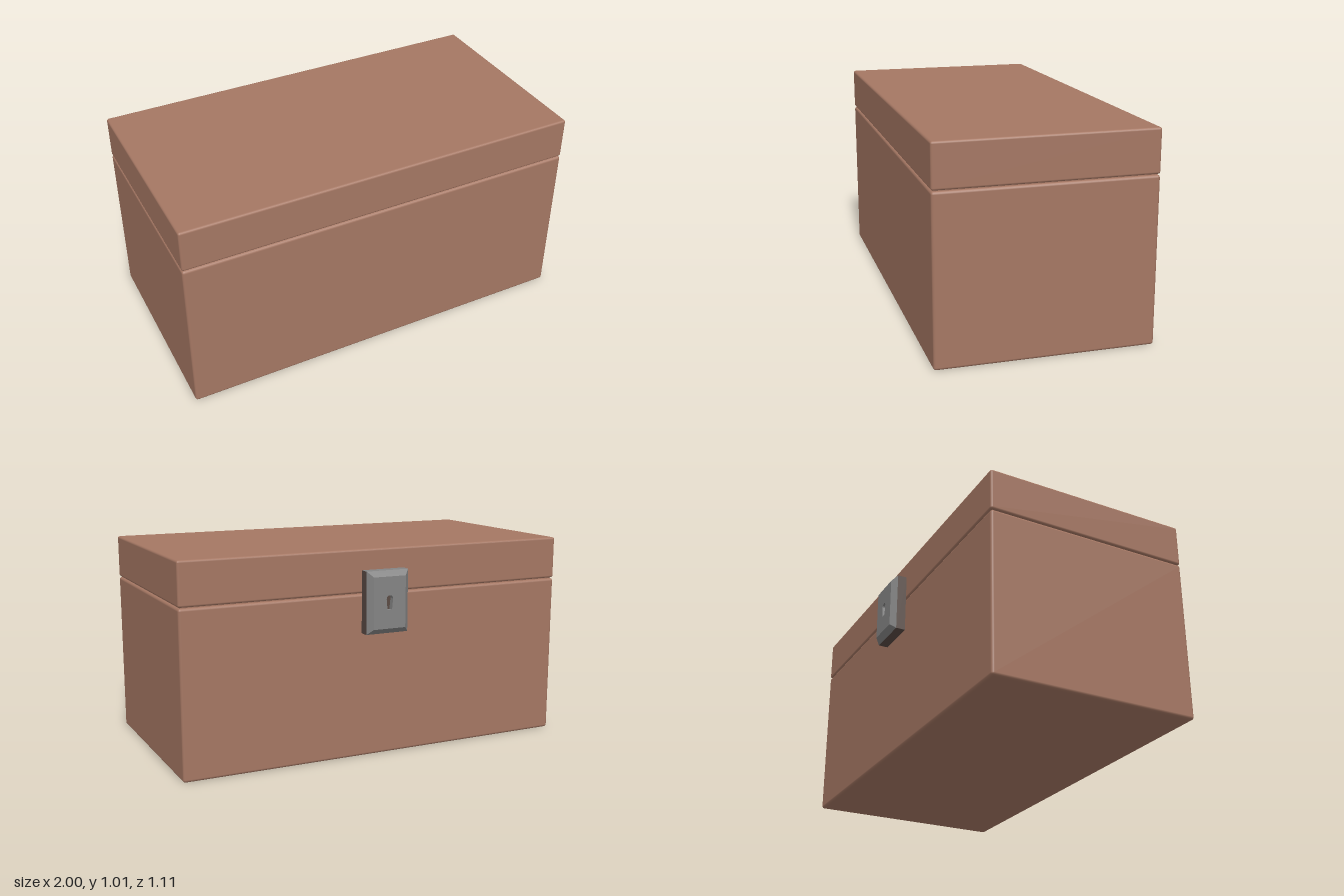
import * as THREE from 'three';
import { RoundedBoxGeometry } from 'three/addons/geometries/RoundedBoxGeometry.js';

function material(name, color) {
  const m = new THREE.MeshStandardMaterial({ color });
  m.name = name;
  return m;
}

export function createModel() {
  const group = new THREE.Group();
  const brown = material('brown', 0xa57763);
  const steel = material('steel', 0x848484);
  const dark = material('darkMetal', 0x5a4b44);

  const add = (name, geometry, mat, x, y, z) => {
    const mesh = new THREE.Mesh(geometry, mat);
    mesh.name = name;
    mesh.position.set(x, y, z);
    group.add(mesh);
    return mesh;
  };

  // Chest body, lid and the thin recess between them
  const depth = 1.026, midZ = 0.04;
  add('body', new RoundedBoxGeometry(2, 0.796, depth, 2, 0.013), brown, 0, 0.398, midZ);
  add('lid', new RoundedBoxGeometry(2, 0.208, depth, 2, 0.011), brown, 0, 0.904, midZ);
  add('seam', new THREE.BoxGeometry(1.975, 0.03, depth - 0.025), brown, 0, 0.798, midZ);

  // Lock mount and rim: dark sides, steel top
  add('lockMount', new THREE.BoxGeometry(0.03, 0.055, 0.02), dark, 0, 0.748, -0.476);
  add('lockRim', new THREE.BoxGeometry(0.22, 0.3, 0.047),
    [dark, dark, steel, dark, dark, dark], 0, 0.76, -0.5035);

  // Bevelled face plate with a keyhole: round top, straight slot below
  const w = 0.11, h = 0.15, t = 0.026, bevel = 0.026;
  const plate = new THREE.Shape([[-w, -h], [w, -h], [w, h], [-w, h]]
    .map(([x, y]) => new THREE.Vector2(x, y)));
  const keyhole = new THREE.Path();
  keyhole.moveTo(-0.012, -0.035);
  keyhole.lineTo(-0.017, 0.018);
  keyhole.absarc(0, 0.018, 0.017, Math.PI, 0, true);
  keyhole.lineTo(0.012, -0.035);
  keyhole.closePath();
  plate.holes.push(keyhole);
  const face = new THREE.ExtrudeGeometry(plate, { depth: t, bevelEnabled: false, curveSegments: 8 });
  const p = face.attributes.position;
  for (let i = 0; i < p.count; i++) {
    const x = p.getX(i), y = p.getY(i);
    if (p.getZ(i) > t / 2 && Math.abs(x) > w - 0.01) {
      p.setXY(i, x - Math.sign(x) * bevel, y - Math.sign(y) * bevel);
    }
  }
  face.computeVertexNormals();
  add('lockFace', face, steel, 0, 0.76, -0.527).rotation.y = Math.PI;

  return group;
}
